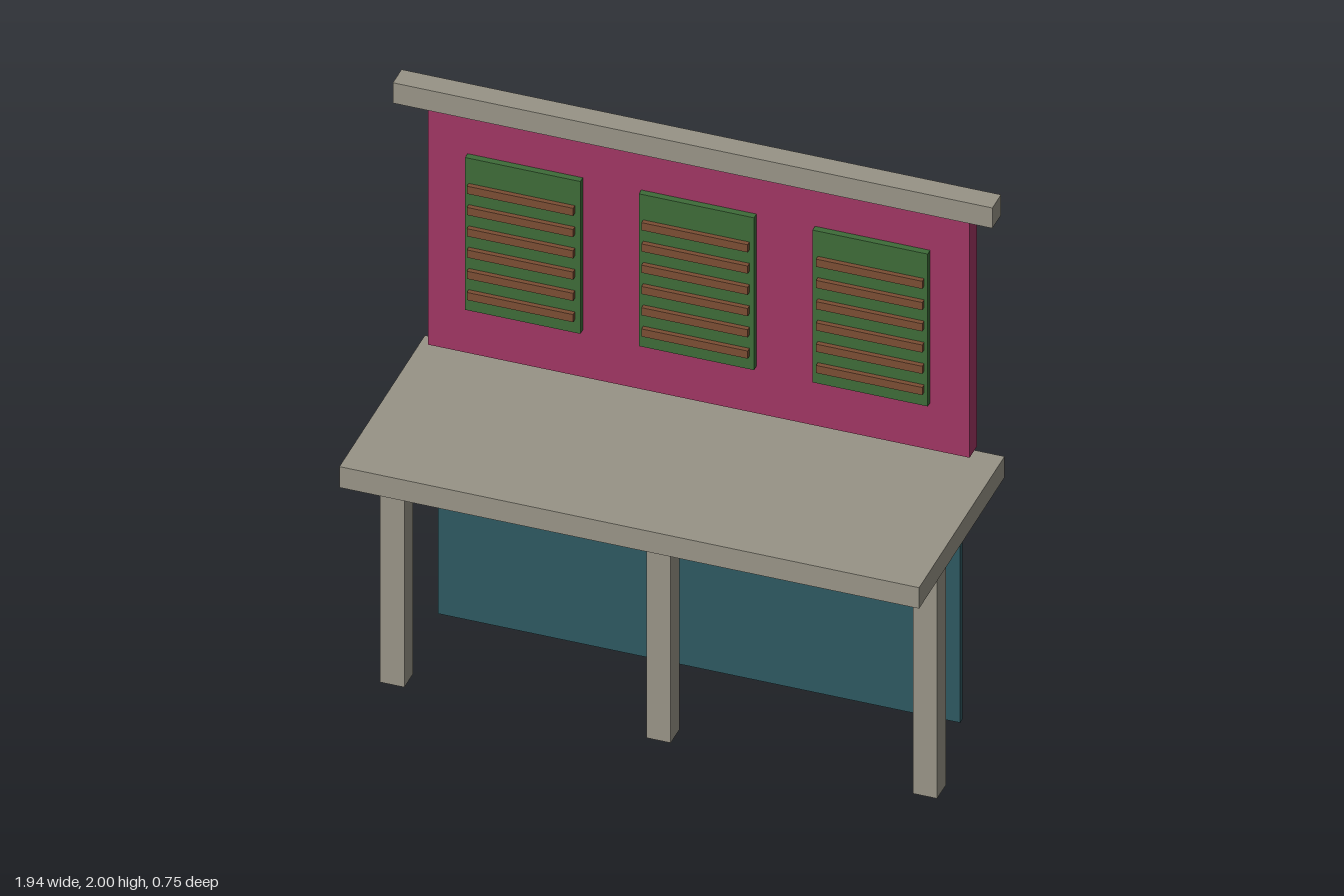
import * as THREE from 'three';

const mat = (name, color) => {
  const m = new THREE.MeshStandardMaterial({ color });
  m.name = name;
  return m;
};

export function createModel() {
  const stone = mat('stone grey', 0x979386);
  const pink = mat('raspberry', 0x9f3562);
  const teal = mat('dark teal', 0x2d5860);
  const green = mat('leaf green', 0x3d6b38);
  const brown = mat('wood brown', 0x7a4d33);

  const model = new THREE.Group();
  model.name = 'counter';

  // Box centred on x, spanning y0..y1 and z0..z1
  const box = (name, material, x, width, y0, y1, z0, z1, parent = model) => {
    const mesh = new THREE.Mesh(new THREE.BoxGeometry(width, y1 - y0, z1 - z0), material);
    mesh.position.set(x, (y0 + y1) / 2, (z0 + z1) / 2);
    mesh.name = name;
    parent.add(mesh);
  };

  // Counter top on three front legs
  box('counterTop', stone, 0, 1.876, 0.875, 0.952, -0.375, 0.375);
  for (const x of [-0.862, 0, 0.862]) box('leg', stone, x, 0.078, 0, 0.875, 0.04, 0.117);

  // Panel below the counter, wall above it and the beam along its top
  box('lowerPanel', teal, 0, 1.69, 0.037, 0.848, -0.256, -0.238);
  box('backWall', pink, 0, 1.752, 1.022, 1.929, -0.3, -0.236);
  box('topBeam', stone, 0, 1.94, 1.925, 2, -0.257, -0.181);

  // Three shutters with six slats each
  for (const side of [-1, 0, 1]) {
    const shutter = new THREE.Group();
    shutter.name = 'shutter';
    model.add(shutter);
    box('shutterBoard', green, side * 0.562, 0.373, 1.195, 1.756, -0.236, -0.214, shutter);
    for (let i = 0; i < 6; i++) {
      const y = 1.258 + i * 0.0783;
      box('slat', brown, side * 0.565, 0.344, y - 0.014, y + 0.014, -0.214, -0.198, shutter);
    }
  }
  return model;
}
